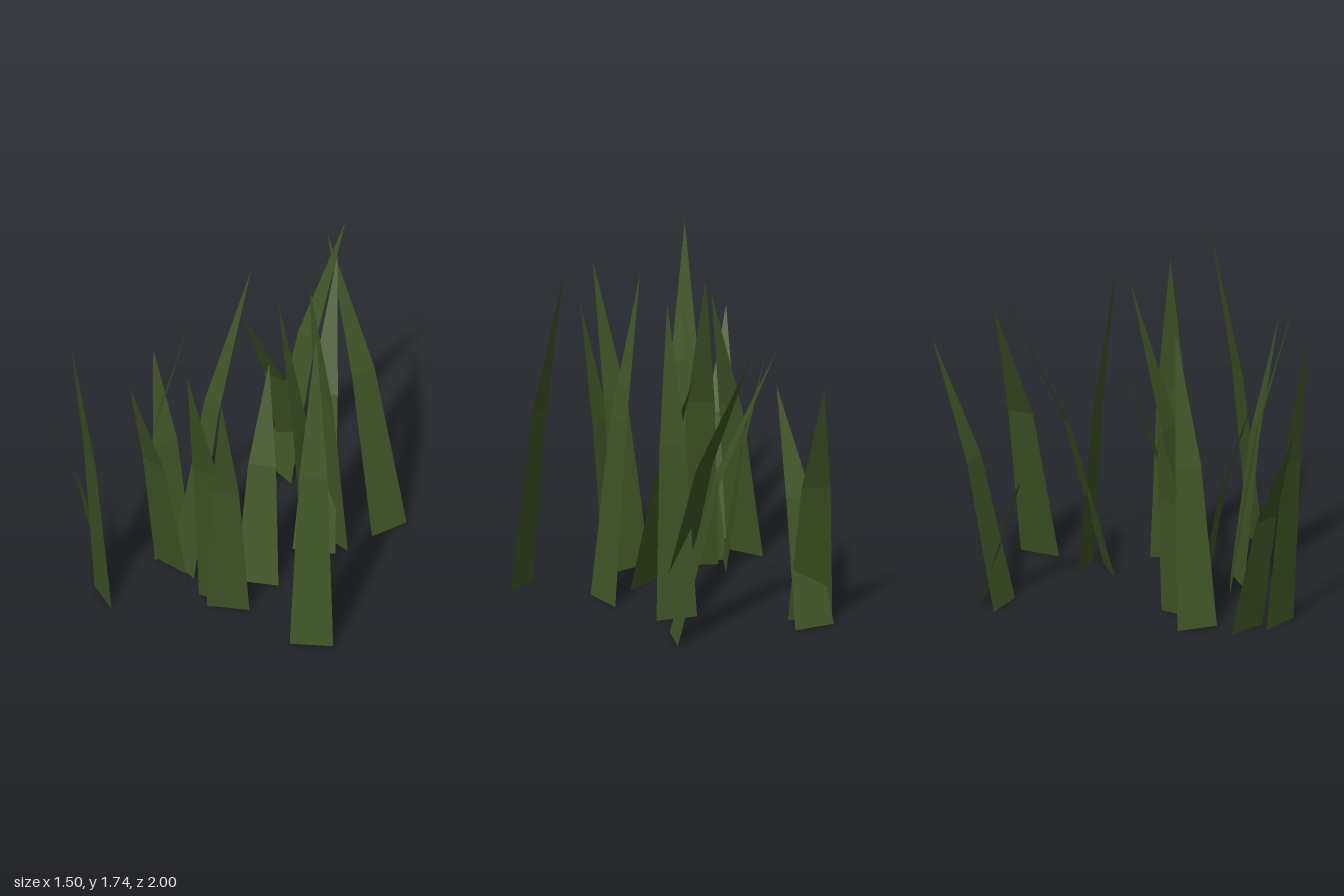
import * as THREE from 'three';

// Each blade: base corner x,z | other base corner x,z | tip x,y,z
const BLADES = [
  [-0.55, -0.635, -0.33, -0.565, -0.32, 1.4, -1.0],
  [-0.515, -0.72, -0.295, -0.72, -0.415, 1.17, -0.27],
  [0.04, -0.11, 0.24, -0.21, -0.085, 1.5, -0.64],
  [0.35, -0.66, 0.29, -0.45, -0.2, 1.54, -0.7],
  [0.06, -0.305, 0.275, -0.27, 0.14, 1.66, -0.125],
  [0.37, 0.01, 0.4, 0.23, 0.155, 1.73, 0.155],
  [0.19, 0.195, -0.01, 0.295, -0.05, 1.16, -0.03],
  [-0.185, 0.42, -0.39, 0.34, -0.145, 1.71, 0.0],
  [-0.645, 0.34, -0.53, 0.525, -0.315, 1.51, 0.27],
  [-0.365, 0.205, -0.45, 0.41, -0.605, 1.15, 0.225],
  [-0.465, 0.39, -0.245, 0.405, -0.375, 1.27, 0.71],
  [0.75, 0.45, 0.56, 0.57, 0.52, 1.74, 0.3],
  [-0.08, 0.51, 0.14, 0.47, 0.09, 1.58, 0.82],
  [-0.35, 0.89, -0.545, 0.785, -0.53, 1.63, 1.0],
  [-0.645, 0.62, -0.465, 0.75, -0.75, 1.155, 0.965],
  [0.015, 0.565, 0.21, 0.46, 0.22, 1.41, 0.705],
];

// The blade bends partway up, where it is narrower than at the base
const BEND_HEIGHT = 0.555, BEND_LEAN = 0.42, BEND_WIDTH = 0.65;

function bladeGeometry([ax, az, bx, bz, tx, ty, tz]) {
  const a = new THREE.Vector3(ax, 0, az);
  const b = new THREE.Vector3(bx, 0, bz);
  const tip = new THREE.Vector3(tx, ty, tz);
  const centre = a.clone().lerp(b, 0.5);
  const half = b.clone().sub(centre).multiplyScalar(BEND_WIDTH);
  const bend = centre.clone().lerp(tip, BEND_LEAN).setY(ty * BEND_HEIGHT);
  const c = bend.clone().sub(half);
  const d = bend.clone().add(half);
  // separate corners per face keep the bend sharp
  const geometry = new THREE.BufferGeometry().setFromPoints([a, b, d, a, d, c, c, d, tip]);
  geometry.computeVertexNormals();
  return geometry;
}

export function createModel() {
  const group = new THREE.Group();
  group.name = 'grassClump';
  const green = new THREE.MeshStandardMaterial({ color: 0x40562a, side: THREE.DoubleSide, flatShading: true });
  green.name = 'grassGreen';
  green.color.set(0x405626);
  BLADES.forEach((data, i) => {
    const blade = new THREE.Mesh(bladeGeometry(data), green);
    blade.name = `grassBlade${i + 1}`;
    group.add(blade);
  });
  return group;
}
